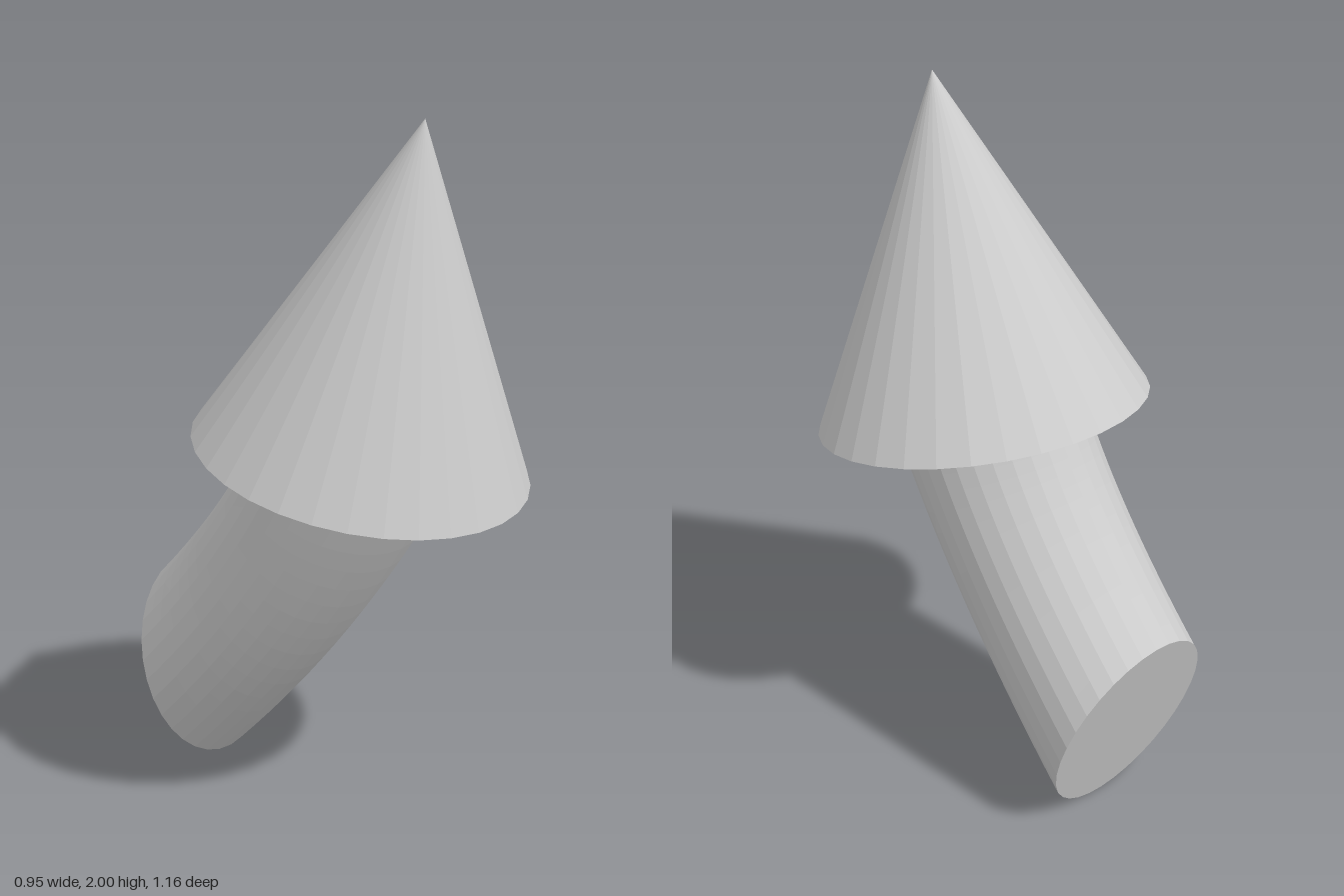
import * as THREE from 'three';

const SIDES = 32;
const RINGS = 16;

// Bent shaft: elliptical rings strung between a front and a back profile curve
function shaftGeometry() {
  const v = (z, y) => new THREE.Vector3(0, y, z);
  const front = new THREE.QuadraticBezierCurve3(v(-0.39, 0), v(0.094, 0.501), v(0.37, 1.02));
  const back = new THREE.QuadraticBezierCurve3(v(-0.58, 0.595), v(-0.284, 0.901), v(-0.18, 1.135));
  const halfWidth = 0.265;
  const pos = [];
  const index = [];

  for (let i = 0; i <= RINGS; i++) {
    const f = front.getPoint(i / RINGS);
    const b = back.getPoint(i / RINGS);
    for (let j = 0; j < SIDES; j++) {
      const a = (j / SIDES) * Math.PI * 2;
      const p = b.clone().lerp(f, 0.5 + 0.5 * Math.cos(a));
      pos.push(halfWidth * Math.sin(a), p.y, p.z);
    }
  }
  for (let j = 0; j < SIDES; j++) {
    const k = (j + 1) % SIDES;
    for (let i = 0; i < RINGS; i++) {
      const lo = i * SIDES;
      const hi = lo + SIDES;
      index.push(lo + j, lo + k, hi + k, lo + j, hi + k, hi + j);
    }
  }
  // End caps as fans
  const top = RINGS * SIDES;
  for (let j = 1; j < SIDES - 1; j++) {
    index.push(0, j + 1, j, top, top + j, top + j + 1);
  }

  const g = new THREE.BufferGeometry();
  g.setAttribute('position', new THREE.Float32BufferAttribute(pos, 3));
  g.setIndex(index);
  g.computeVertexNormals();
  return g;
}

export function createModel() {
  const group = new THREE.Group();
  group.name = 'curvedArrow';
  const material = new THREE.MeshStandardMaterial({ color: 0xcccccc, flatShading: true });

  // Conical head, leaning forward
  const head = new THREE.Mesh(new THREE.ConeGeometry(0.473, 0.947, SIDES), material);
  head.name = 'arrowHead';
  head.position.set(0, 1.536, 0.2135);
  head.rotation.x = 0.206;
  group.add(head);

  // Curved shaft below the head
  const shaft = new THREE.Mesh(shaftGeometry(), material);
  shaft.name = 'arrowShaft';
  group.add(shaft);

  return group;
}
